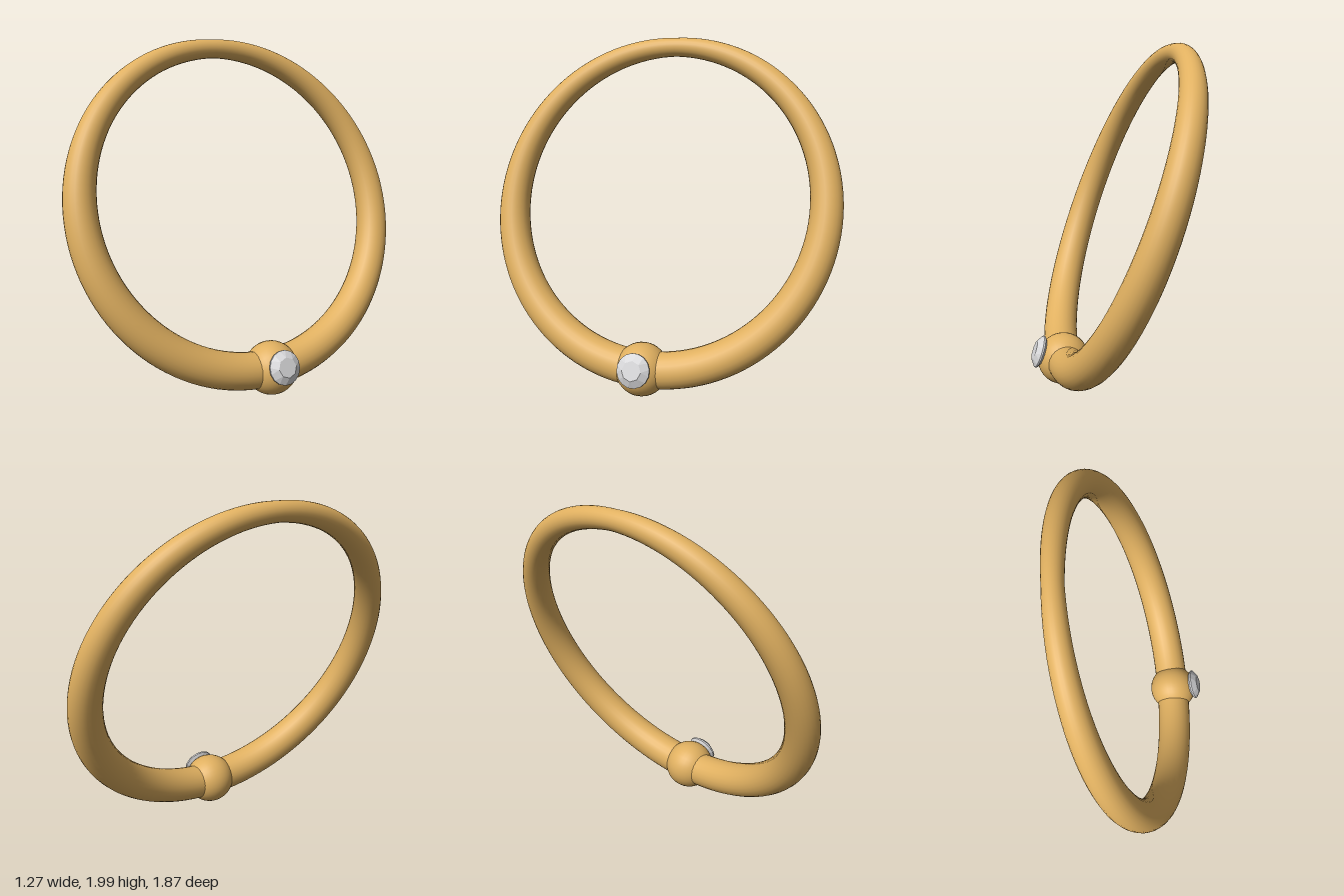
import * as THREE from 'three';
import { ConvexGeometry } from 'three/addons/geometries/ConvexGeometry.js';

const RING_RADIUS = 0.95;

// Torus whose tube swells from thin (angle 0) to thick (angle PI)
function taperedBand(thin, swell) {
  const geo = new THREE.TorusGeometry(RING_RADIUS, 1, 24, 128);
  const uv = geo.attributes.uv, normal = geo.attributes.normal, pos = geo.attributes.position;
  for (let i = 0; i < pos.count; i++) {
    const angle = uv.getX(i) * Math.PI * 2;
    const r = thin + swell * Math.sin(angle / 2);
    pos.setXYZ(i,
      Math.cos(angle) * RING_RADIUS + normal.getX(i) * r,
      Math.sin(angle) * RING_RADIUS + normal.getY(i) * r,
      normal.getZ(i) * r);
  }
  return geo;
}

// Points of a regular polygon at height z
function polygon(count, radius, z, turn = 0) {
  return Array.from({ length: count }, (_, i) => {
    const a = (i / count) * Math.PI * 2 + turn;
    return new THREE.Vector3(Math.cos(a) * radius, Math.sin(a) * radius, z);
  });
}

export function createModel() {
  const gold = new THREE.MeshStandardMaterial({ color: 0xe0b060 });
  gold.name = 'gold';
  const crystal = new THREE.MeshStandardMaterial({ color: 0xd6d6d8, flatShading: true });
  crystal.name = 'crystal';

  const model = new THREE.Group();
  model.name = 'ring';

  // Tilted frame: x points to the thin end of the band, z along its axis
  const axis = new THREE.Vector3(0.818, 0.347, 0.459).normalize();
  const thinEnd = new THREE.Vector3(-0.29, 0.89, -0.155);
  thinEnd.addScaledVector(axis, -thinEnd.dot(axis)).normalize();
  const side = new THREE.Vector3().crossVectors(axis, thinEnd);
  const tilted = new THREE.Group();
  tilted.name = 'tiltedRing';
  tilted.quaternion.setFromRotationMatrix(new THREE.Matrix4().makeBasis(thinEnd, side, axis));
  tilted.position.set(-0.012, 1.05, 0);
  model.add(tilted);

  const add = (name, geo, mat, x = 0, z = 0) => {
    const mesh = new THREE.Mesh(geo, mat);
    mesh.name = name;
    mesh.position.set(x, 0, z);
    tilted.add(mesh);
  };

  // Band, and the ball at its thick end
  add('band', taperedBand(0.055, 0.05), gold);
  add('ball', new THREE.SphereGeometry(0.152, 32, 20), gold, -RING_RADIUS, 0.004);

  // Cut gem: octagonal table, crown, girdle and pointed pavilion
  const gem = new ConvexGeometry([
    ...polygon(8, 0.056, 0.034),
    ...polygon(16, 0.096, 0.006, Math.PI / 16),
    ...polygon(16, 0.096, -0.004, Math.PI / 16),
    new THREE.Vector3(0, 0, -0.075),
  ]);
  add('gem', gem, crystal, -RING_RADIUS, 0.152);

  return model;
}
